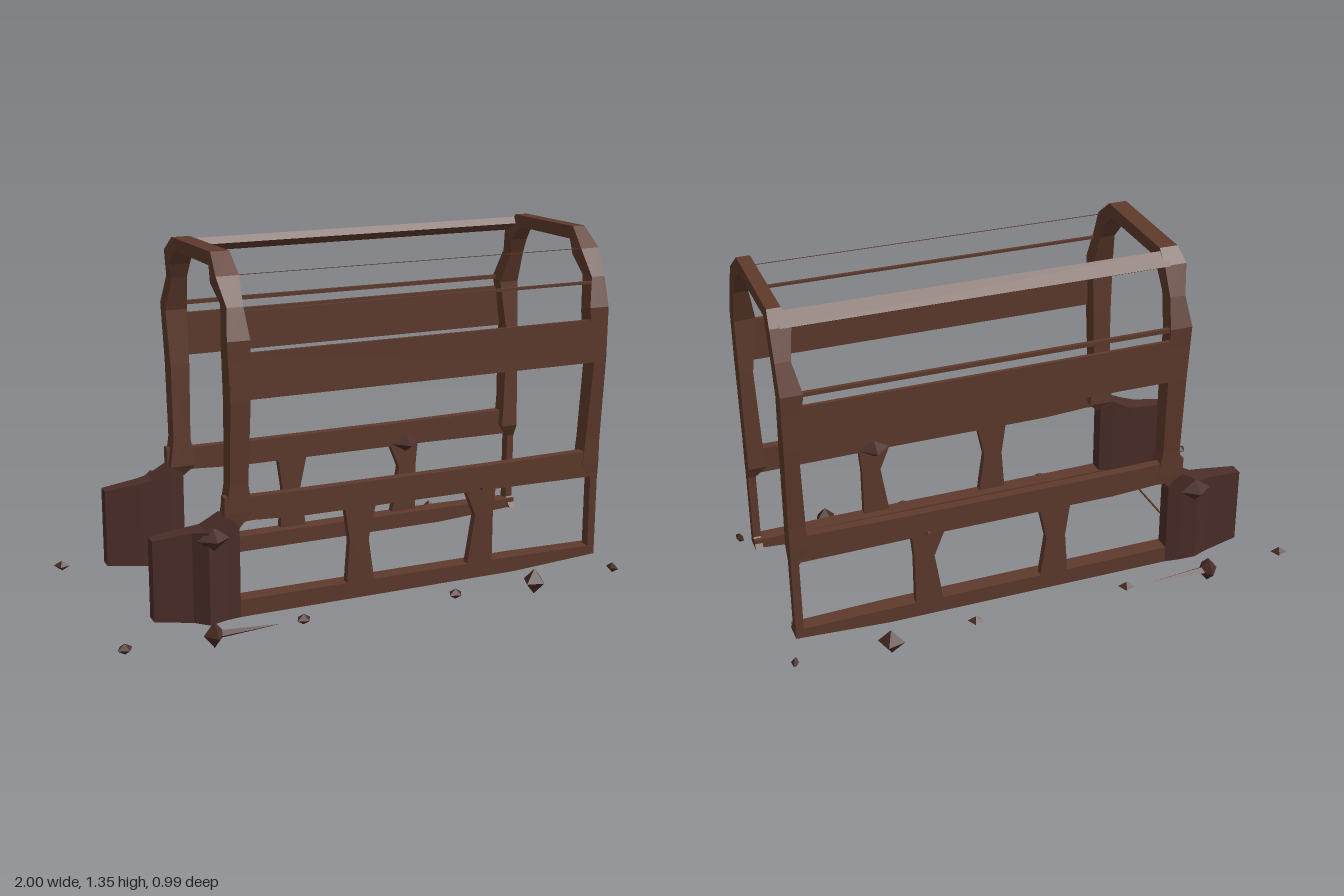
import * as THREE from 'three';

const brown = new THREE.MeshStandardMaterial({ color: 0x5e3a2c, flatShading: true, side: THREE.DoubleSide });
const dark = new THREE.MeshStandardMaterial({ color: 0x4a2d28, flatShading: true, side: THREE.DoubleSide });

// Skin a row of four-cornered sections, cap both ends, and turn faces outward
function loft(sections) {
  const pos = sections.flat(2);
  const tris = [];
  const n = sections.length;
  const quad = (a, b, c, d) => tris.push([a, b, c], [a, c, d]);
  for (let i = 0; i < n - 1; i++) {
    for (let k = 0; k < 4; k++) {
      const m = (k + 1) % 4;
      quad(i * 4 + k, i * 4 + m, i * 4 + 4 + m, i * 4 + 4 + k);
    }
  }
  quad(3, 2, 1, 0);
  const e = (n - 1) * 4;
  quad(e, e + 1, e + 2, e + 3);
  const v = (i) => new THREE.Vector3(pos[i * 3], pos[i * 3 + 1], pos[i * 3 + 2]);
  let volume = 0;
  for (const [a, b, c] of tris) volume += v(a).dot(v(b).cross(v(c)));
  const index = tris.flatMap(([a, b, c]) => (volume < 0 ? [a, c, b] : [a, b, c]));
  const g = new THREE.BufferGeometry();
  g.setAttribute('position', new THREE.Float32BufferAttribute(pos, 3));
  g.setIndex(index);
  const flat = g.toNonIndexed();
  flat.computeVertexNormals();
  return flat;
}

function add(parent, name, geometry, material = brown) {
  const mesh = new THREE.Mesh(geometry, material);
  mesh.name = name;
  parent.add(mesh);
  return mesh;
}

// Section standing across x, from y0..y1 and z0..z1
const sectionX = (x, y0, y1, z0, z1) => [[x, y0, z0], [x, y1, z0], [x, y1, z1], [x, y0, z1]];
// Section lying across y
const sectionY = (y, x0, x1, z0, z1) => [[x0, y, z0], [x1, y, z0], [x1, y, z1], [x0, y, z1]];

function bar(x0, x1, y0, y1, z0, z1) {
  return loft([sectionX(x0, y0, y1, z0, z1), sectionX(x1, y0, y1, z0, z1)]);
}

function knob(parent, name, x, y, z, rx, ry, rz, turn = 0) {
  const m = add(parent, name, new THREE.OctahedronGeometry(1, 0), dark);
  m.position.set(x, y, z);
  m.scale.set(rx, ry, rz);
  m.rotation.y = turn;
}

// Legs of the end arch: outer z, outer y, inner z, inner y
const legs = [
  [0.335, 0.06, 0.265, 0.06],
  [0.345, 0.12, 0.305, 0.13],
  [0.345, 0.40, 0.305, 0.40],
  [0.35, 0.46, 0.28, 0.45],
  [0.35, 0.56, 0.285, 0.56],
  [0.37, 0.86, 0.295, 0.85],
  [0.373, 1.08, 0.31, 1.06],
  [0.335, 1.19, 0.27, 1.19],
];
// The shoulders differ: the back one is squarer and carries the roof rail
const frontShoulder = [[0.285, 1.29, 0.225, 1.26], [0.19, 1.36, 0.17, 1.31]];
const backShoulder = [[0.292, 1.295, 0.245, 1.245], [0.245, 1.347, 0.2, 1.302]];

// x extents of each arch at the same stations
const rearX = [[-0.56, -0.52], [-0.56, -0.52], [-0.575, -0.515], [-0.565, -0.465], [-0.55, -0.482],
  [-0.55, -0.476], [-0.56, -0.475], [-0.545, -0.485], [-0.565, -0.48], [-0.55, -0.48]];
const frontX = [[0.925, 0.955], [0.925, 0.955], [0.925, 0.955], [0.885, 0.955], [0.893, 0.955],
  [0.903, 0.955], [0.875, 0.955], [0.9, 0.955], [0.88, 0.955], [0.9, 0.95]];

function archGeometry(spans, foot) {
  const half = (s, shoulder) => [...legs, ...shoulder].map(([zo, yo, zi, yi], i) => {
    const [a, b] = spans[i];
    const outerY = Math.max(yo, foot);
    const innerY = Math.max(yi, foot);
    return [[a, outerY, s * zo], [b, outerY, s * zo], [b, innerY, s * zi], [a, innerY, s * zi]];
  });
  return loft([...half(1, frontShoulder), ...half(-1, backShoulder).reverse()]);
}

function buildSide(s) {
  const side = new THREE.Group();
  side.name = s > 0 ? 'frontSide' : 'backSide';
  const z = (v) => s * v;

  // Horizontal members of the wall
  add(side, 'sill', loft([
    sectionX(-0.56, 0.065, 0.13, z(0.28), z(0.345)),
    sectionX(0.6, 0.07, 0.13, z(0.28), z(0.345)),
    sectionX(0.955, 0.09, 0.125, z(0.285), z(0.345)),
  ]));
  const waist = [[-0.57, 0.42, 0.52], [-0.46, 0.425, 0.512], [-0.28, 0.415, 0.51], [0.45, 0.415, 0.51], [0.955, 0.41, 0.515]];
  add(side, 'waistRail', loft(waist.map(([x, y0, y1]) => sectionX(x, y0, y1, z(0.312), z(0.347)))));
  add(side, 'upperPanel', bar(-0.55, 0.955, 0.87, 1.035, z(0.358), z(0.372)));

  // Waisted pillars between the lower openings
  const pillar = (name, rows) => add(side, name,
    loft(rows.map(([y, x0, x1]) => sectionY(y, x0, x1, z(0.315), z(0.345)))));
  pillar('middlePillar', [[0.1, -0.1, 0.01], [0.15, -0.1, 0.005], [0.29, -0.09, -0.015], [0.43, -0.11, 0.015]]);
  pillar('endPillar', [[0.1, 0.39, 0.5], [0.16, 0.4, 0.5], [0.32, 0.425, 0.5], [0.43, 0.38, 0.51]]);
  knob(side, 'pillarKnob', 0.45, 0.425, z(0.305), 0.06, 0.035, 0.055);

  // Solid corner block, more swollen on the front side
  const swell = s > 0 ? 0.375 : 0.355;
  add(side, 'cornerBlock', loft([
    sectionX(-0.83, 0.09, 0.39, z(0.275), z(0.325)),
    sectionX(-0.69, 0.07, 0.405, z(0.27), z(0.34)),
    sectionX(-0.64, 0.065, 0.41, z(0.27), z(swell)),
    sectionX(-0.57, 0.065, 0.45, z(0.275), z(0.352)),
    sectionX(-0.515, 0.065, 0.42, z(0.285), z(0.345)),
  ]), dark);
  knob(side, 'blockKnob', -0.62, 0.38, z(0.365), 0.06, 0.045, 0.045);

  // Loose stones along the ground
  for (const x of [-0.97, -0.31, 0.3, 0.985]) {
    knob(side, 'smallStone', x, 0.058, z(0.435), x > 0.9 ? 0.015 : 0.032, 0.02, 0.028, 0.4 * s);
  }
  knob(side, 'largeStone', 0.63, 0.06, z(0.445), 0.05, 0.05, 0.045, 0.5 * s);
  knob(side, 'largeStone', -0.65, 0.06, z(0.445), 0.04, 0.05, 0.05);
  const spike = add(side, 'stoneSpike', new THREE.ConeGeometry(0.024, 0.26, 4), dark);
  spike.rotation.z = -Math.PI / 2;
  spike.scale.x = 0.7;
  spike.position.set(-0.53, 0.06, z(0.447));
  return side;
}

export function createModel() {
  const model = new THREE.Group();
  model.name = 'openFrameBody';
  add(model, 'rearArch', archGeometry(rearX, 0.06));
  add(model, 'frontArch', archGeometry(frontX, 0.09));
  model.add(buildSide(1), buildSide(-1));

  // Roof rail on the back edge only
  add(model, 'roofRail', loft([-0.5, 0.92].map((x) => [
    [x, 1.337, -0.25], [x, 1.293, -0.296], [x, 1.282, -0.275], [x, 1.312, -0.235],
  ])));
  // Thin rods above the panels
  add(model, 'frontRod', bar(-0.5, 0.92, 1.164, 1.174, 0.325, 0.337));
  add(model, 'frontUpperWire', bar(-0.5, 0.92, 1.287, 1.289, 0.268, 0.27));
  add(model, 'backRod', bar(-0.52, 0.92, 1.068, 1.083, -0.367, -0.352));

  // Thin tie between the corner blocks
  add(model, 'crossTie', bar(-0.663, -0.657, 0.057, 0.062, -0.3, 0.3));
  return model;
}
